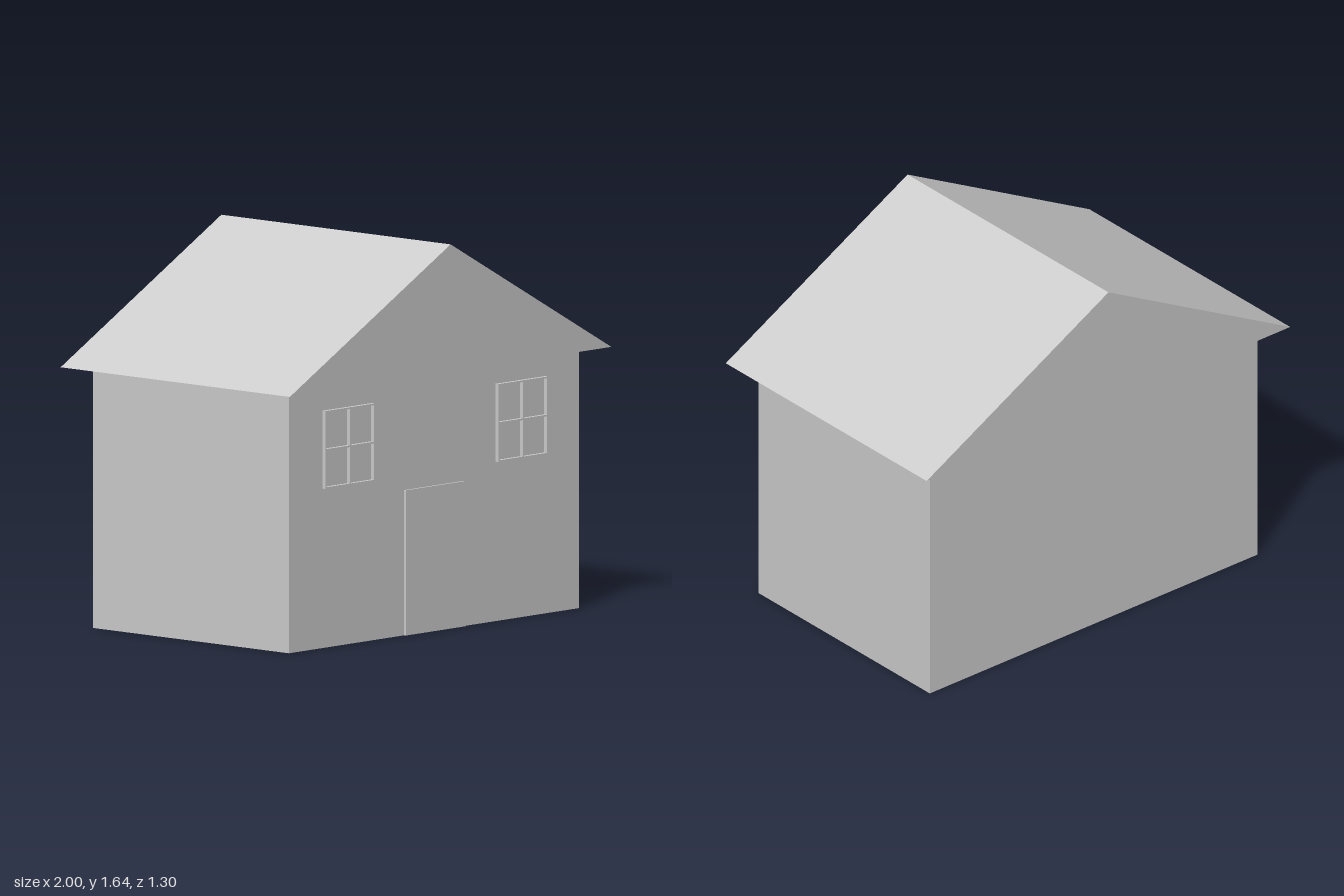
import * as THREE from 'three';

export function createModel() {
  const house = new THREE.Group();
  house.name = 'house';
  const plaster = new THREE.MeshStandardMaterial({ color: 0xcccccc });
  plaster.name = 'light grey';

  const WALL_Z = 0.555;
  const EAVES = 1.105;

  function box(name, parent, w, h, d, x, y, z) {
    const mesh = new THREE.Mesh(new THREE.BoxGeometry(w, h, d), plaster);
    mesh.name = name;
    mesh.position.set(x, y, z);
    parent.add(mesh);
    return mesh;
  }

  // Walls and door
  box('walls', house, 1.804, EAVES, WALL_Z * 2, 0, EAVES / 2, 0);
  box('door', house, 0.37, 0.615, 0.01, 0, 0.3075, WALL_Z + 0.005);

  // Gabled roof: a solid triangular prism overhanging the walls
  const gable = new THREE.Shape([
    new THREE.Vector2(-1, EAVES),
    new THREE.Vector2(1, EAVES),
    new THREE.Vector2(0, 1.645),
  ]);
  const roofGeometry = new THREE.ExtrudeGeometry(gable, { depth: 1.3, bevelEnabled: false });
  roofGeometry.translate(0, 0, -0.65);
  const roof = new THREE.Mesh(roofGeometry, plaster);
  roof.name = 'roof';
  house.add(roof);

  // Windows: thin frame with a cross of glazing bars
  const W = 0.308, H = 0.33, BAR = 0.007, DEPTH = 0.017;
  for (const side of [-1, 1]) {
    const frame = new THREE.Group();
    frame.name = side < 0 ? 'rightWindow' : 'leftWindow';
    frame.position.set(side * 0.538, 0.84, WALL_Z + DEPTH / 2);
    for (const i of [-1, 0, 1]) {
      const part = i === 0 ? 'glazingBar' : 'frameBar';
      box(part, frame, BAR, H, DEPTH, i * (W - BAR) / 2, 0, 0);
      box(part, frame, W, BAR, DEPTH, 0, i * (H - BAR) / 2, 0);
    }
    house.add(frame);
  }

  return house;
}
